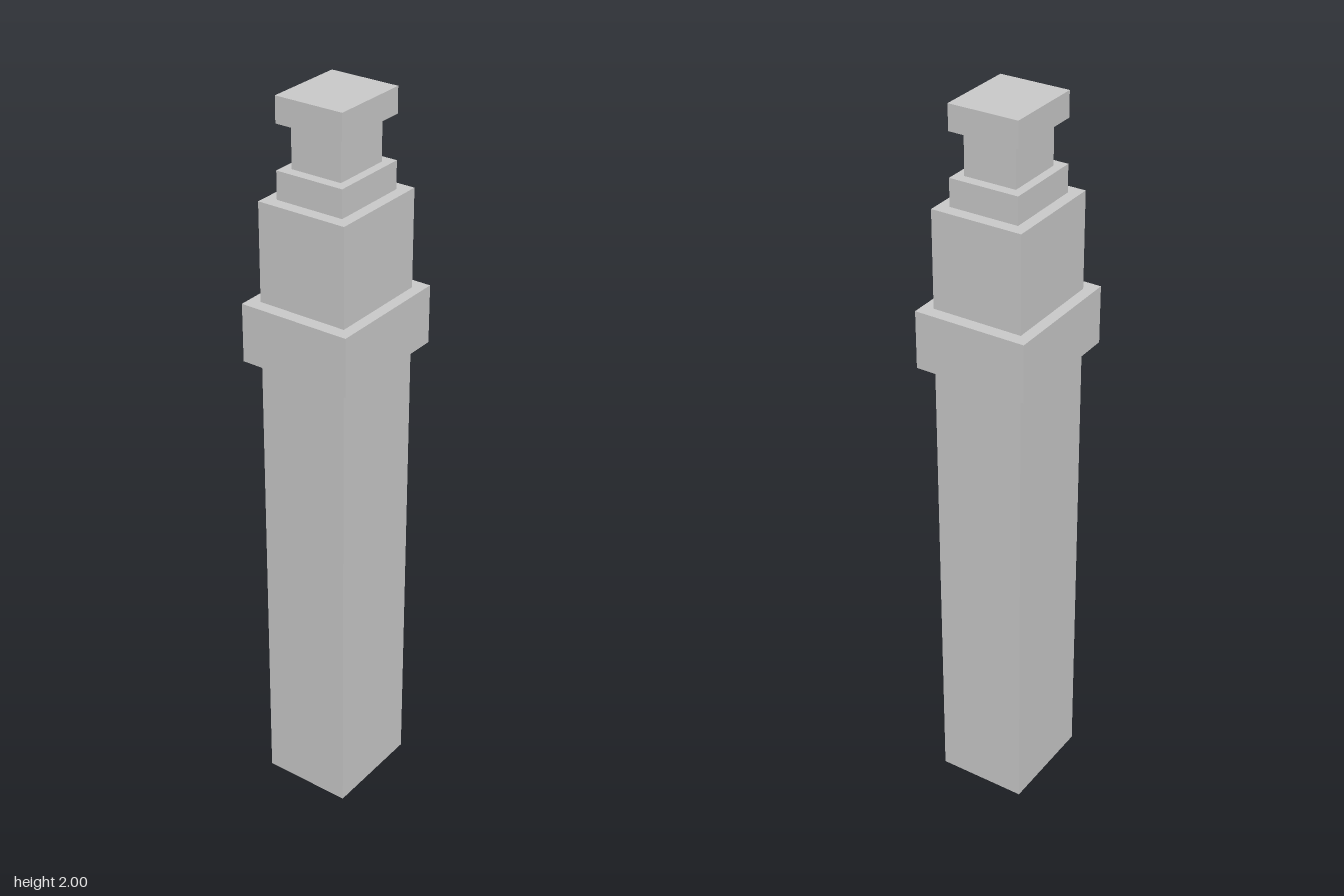
import * as THREE from 'three';

export function createModel() {
  const group = new THREE.Group();
  const material = new THREE.MeshStandardMaterial({ color: 0xcccccc, flatShading: true });

  // Stacked square sections: name, width, depth, bottom, top
  const sections = [
    ['shaft', 0.252, 0.288, 0, 1.318],
    ['collar', 0.313, 0.358, 1.318, 1.477],
    ['upperShaft', 0.252, 0.288, 1.477, 1.742],
    ['neckBase', 0.192, 0.221, 1.742, 1.816],
    ['neck', 0.144, 0.165, 1.816, 1.932],
    ['cap', 0.192, 0.221, 1.932, 2],
  ];

  for (const [name, width, depth, bottom, top] of sections) {
    const mesh = new THREE.Mesh(new THREE.BoxGeometry(width, top - bottom, depth), material);
    mesh.name = name;
    mesh.position.y = (bottom + top) / 2;
    group.add(mesh);
  }
  return group;
}
